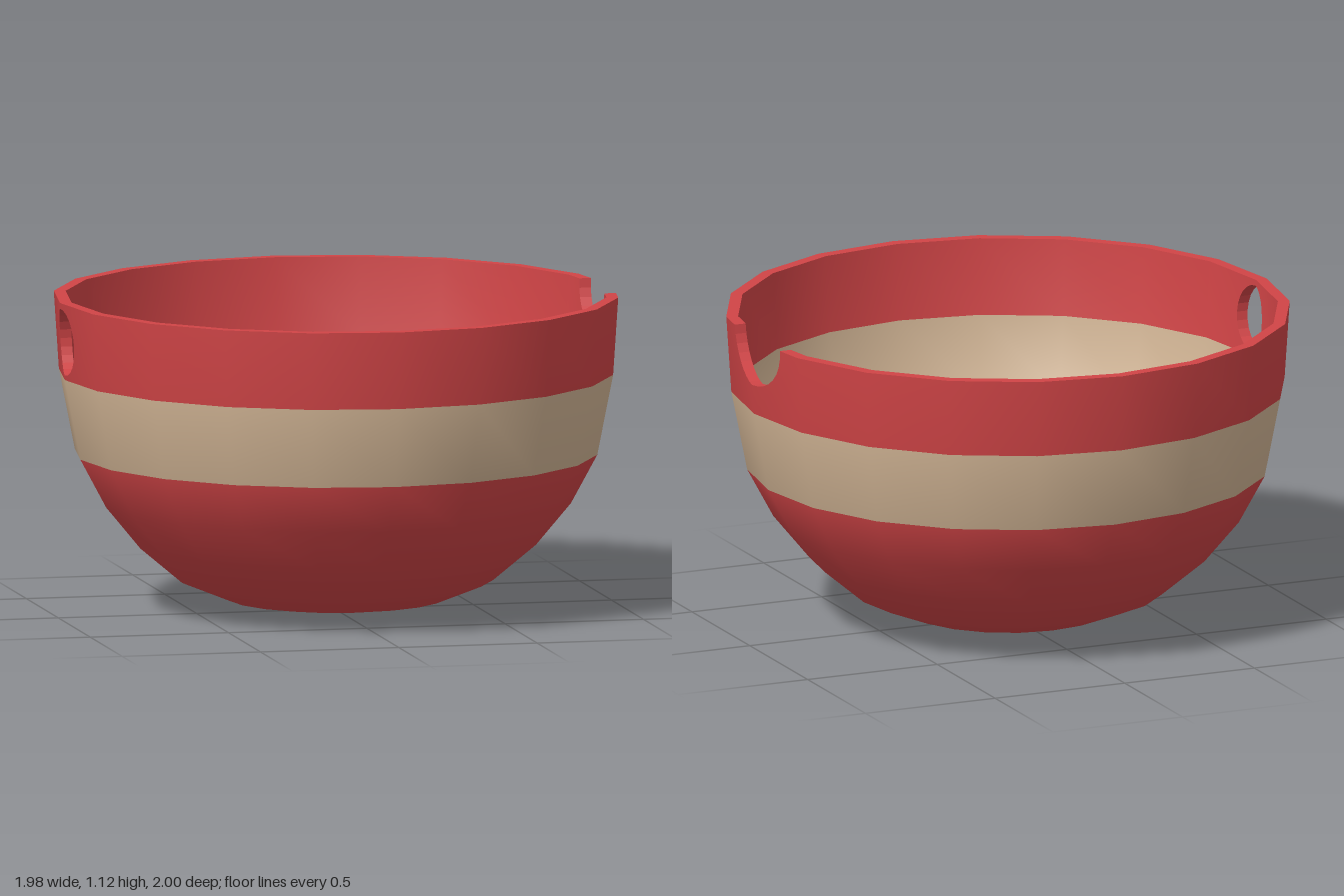
import * as THREE from 'three';

const red = new THREE.MeshStandardMaterial({ color: 0xd04446 });
red.name = 'red';
const tan = new THREE.MeshStandardMaterial({ color: 0xd2b595 });
tan.name = 'tan';

const SIDES = 20;
const Y0 = 0.845, Y1 = 1.12;            // bottom and top of the upper red band
const HALF = Math.tan(Math.PI / SIDES); // inward lean of a facet beside a corner
const SIN = Math.sin((2 * Math.PI) / SIDES);

// Profiles as [radius, height], bottom to rim
const outer = [[0, 0], [0.195, 0.012], [0.383, 0.04], [0.556, 0.11], [0.707, 0.237],
  [0.831, 0.387], [0.924, 0.56], [0.98, Y0], [0.998, Y1]];
const inner = [[0, 0.04], [0.185, 0.052], [0.37, 0.08], [0.53, 0.148], [0.675, 0.27],
  [0.795, 0.412], [0.886, 0.572], [0.94, Y0], [0.956, Y1]];

// Radius within the upper band
const radius = (p, y) => p[7][0] + ((p[8][0] - p[7][0]) * (y - Y0)) / (Y1 - Y0);
// Point on the facets next to the +x or -x corner
const onWall = (p, sx, z, y) => [sx * (radius(p, y) - Math.abs(z) * HALF), y, z];

const ellipse = (rx, ry, cy, from, to, n) => Array.from({ length: n + 1 }, (_, i) => {
  const a = from + ((to - from) * i) / n;
  return [rx * Math.cos(a), cy + ry * Math.sin(a)];
});
const notchArc = (from, to, n) => ellipse(0.195, 0.17, Y1, from, to, n);
const holeArc = (from, to, n) => ellipse(0.107, 0.119, 0.98, from, to, n);

// Turned skin, split by colour, leaving out the facets that carry openings
function addSkin(group, name, profile, inside) {
  const pts = profile.map(([r, y]) => new THREE.Vector2(r, y));
  if (inside) pts.reverse();
  const lathe = new THREE.LatheGeometry(pts, SIDES);
  const rows = pts.length - 1;
  const parts = { Base: [], Stripe: [], UpperBand: [] };
  const index = lathe.index.array;
  for (let i = 0; i < SIDES; i++) {
    for (let j = 0; j < rows; j++) {
      const row = inside ? rows - 1 - j : j;
      if (row === 7 && [4, 5, 14, 15].includes(i)) continue;
      const key = row === 7 ? 'UpperBand' : row === 6 ? 'Stripe' : 'Base';
      const k = (i * rows + j) * 6;
      parts[key].push(...index.slice(k, k + 6));
    }
  }
  for (const key in parts) {
    const geo = lathe.clone();
    geo.setIndex(parts[key]);
    const mesh = new THREE.Mesh(geo, key === 'Stripe' ? tan : red);
    mesh.name = name + key;
    group.add(mesh);
  }
}

// One facet with half of an opening cut from its edge
function cutPanel(profile, inside, sx, sz) {
  const pts = [[0, Y0], [SIN * radius(profile, Y0), Y0], [SIN * radius(profile, Y1), Y1]];
  if (sx > 0) pts.push(...notchArc(0, -Math.PI / 2, 8));
  else pts.push([0, Y1], ...holeArc(Math.PI / 2, -Math.PI / 2, 12));
  const geo = new THREE.ShapeGeometry(new THREE.Shape(pts.map(([z, y]) => new THREE.Vector2(z, y))));
  const pos = geo.attributes.position, nor = geo.attributes.normal;
  const dir = inside ? -1 : 1;
  for (let i = 0; i < pos.count; i++) {
    const p = onWall(profile, sx, sz * pos.getX(i), pos.getY(i));
    pos.setXYZ(i, ...p);
    const slope = -0.13 + (0.06 * (p[1] - Y0)) / (Y1 - Y0);
    const n = new THREE.Vector3(p[0], slope * Math.hypot(p[0], p[2]), p[2]).normalize();
    nor.setXYZ(i, dir * n.x, dir * n.y, dir * n.z);
  }
  if (sx * sz * dir > 0) geo.index.array.reverse();
  return new THREE.Mesh(geo, red);
}

// Flat-faced closed strip joining the outer skin to the inner skin
function ribbon(name, a, b) {
  const v = [];
  a.forEach((p, i) => {
    const k = (i + 1) % a.length;
    v.push(...p, ...a[k], ...b[i], ...a[k], ...b[k], ...b[i]);
  });
  const geo = new THREE.BufferGeometry();
  geo.setAttribute('position', new THREE.Float32BufferAttribute(v, 3));
  geo.computeVertexNormals();
  const mesh = new THREE.Mesh(geo, red);
  mesh.name = name;
  return mesh;
}

// Rim outline, dipping through the notch
function rimLoop(profile) {
  const loop = notchArc(0, -Math.PI, 16).map(([z, y]) => onWall(profile, 1, z, y));
  const r = profile[8][0];
  for (let k = 1; k < SIDES; k++) {
    const a = Math.PI / 2 + (k * 2 * Math.PI) / SIDES;
    loop.push([r * Math.sin(a), Y1, r * Math.cos(a)]);
  }
  return loop;
}

export function createModel() {
  const model = new THREE.Group();
  model.name = 'bowl';
  addSkin(model, 'outer', outer, false);
  addSkin(model, 'inner', inner, true);

  // Facets around the notch (+x) and the round hole (-x)
  for (const sx of [1, -1]) {
    for (const sz of [1, -1]) {
      for (const inside of [false, true]) {
        const panel = cutPanel(inside ? inner : outer, inside, sx, sz);
        panel.name = (inside ? 'inner' : 'outer') + (sx > 0 ? 'NotchPanel' : 'HolePanel');
        model.add(panel);
      }
    }
  }

  // Thickness of the wall at the rim, notch and hole
  model.add(ribbon('rim', rimLoop(outer), rimLoop(inner)));
  const hole = holeArc(-Math.PI / 2, Math.PI * 1.5, 24).slice(0, -1);
  const holeLoop = (p) => hole.map(([z, y]) => onWall(p, -1, z, y));
  model.add(ribbon('holeEdge', holeLoop(outer), holeLoop(inner)));

  model.position.x = 0.004;
  return model;
}
